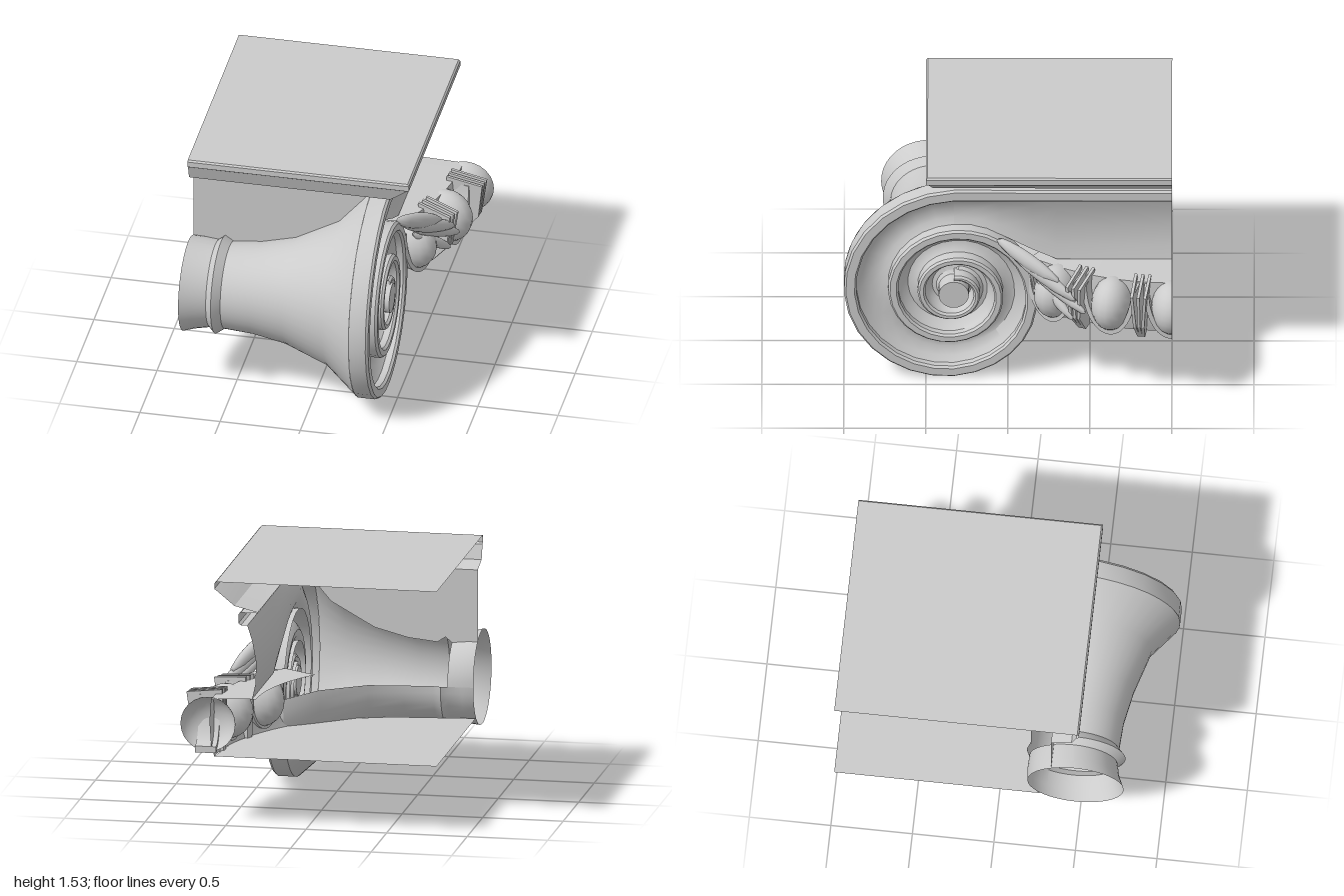
import * as THREE from 'three';
import { toCreasedNormals } from 'three/addons/utils/BufferGeometryUtils.js';

const material = new THREE.MeshStandardMaterial({ color: 0xcccccc, side: THREE.DoubleSide });
const LEFT = -0.81, BACK = -1;          // the two open cut planes
const VZ = 0.33, VY = 0.6;              // volute centre

// Spiral radius at each quarter turn, starting at the top
const RADII = [0.74, 0.67, 0.6, 0.505, 0.45, 0.4, 0.355, 0.3, 0.25, 0.22, 0.19, 0.16, 0.12];
function spiral(turns) {
  const q = turns * 4, i = Math.floor(q + 1e-6);
  if (i >= 12) return turns > 3.01 ? 0.09 : 0.12;
  return THREE.MathUtils.lerp(RADII[i], RADII[i + 1], q - i);
}

function add(parent, name, geometry) {
  const mesh = new THREE.Mesh(geometry, material);
  mesh.name = name;
  parent.add(mesh);
  return mesh;
}

// Skin a list of equal-length rows of [x, y, z] points
function loft(rows, crease = 0.6) {
  const n = rows[0].length, index = [];
  for (let i = 0; i < rows.length - 1; i++)
    for (let j = 0; j < n - 1; j++) {
      const a = i * n + j, b = a + n;
      index.push(a, b, a + 1, b, b + 1, a + 1);
    }
  const g = new THREE.BufferGeometry();
  g.setAttribute('position', new THREE.Float32BufferAttribute(rows.flat(2), 3));
  g.setIndex(index);
  return toCreasedNormals(g, crease);
}

// Moulding cross-section from outer edge (a) to inner edge (b), as [position, x]
function channel(a, b, w) {
  const c = a - w;
  const at = (f) => THREE.MathUtils.lerp(c, b, f);
  return [[a, 0.3], [a, 0.405], [a - 0.012, 0.42], [c + 0.012, 0.42], [c, 0.405], [c, 0.365],
    [at(0.2), 0.335], [at(0.5), 0.31], [at(0.8), 0.315], [b, 0.335]];
}

function buildAbacus(root) {
  // [x extent, z extent, y], returning round the one outer corner
  const profile = [[0.56, 0.49, 1.525], [0.57, 0.5, 1.515], [0.57, 0.5, 1.48], [0.555, 0.485, 1.47],
    [0.445, 0.455, 1.38], [0.3, 0.33, 1.345]];
  add(root, 'abacusMoulding', loft(profile.map(([x, z, y]) =>
    [[x, y, BACK], [x, y, z], [LEFT, y, z]]), 0.4));
  add(root, 'abacusTop', loft([[[LEFT, 1.525, 0.49], [0.56, 1.525, 0.49]],
    [[LEFT, 1.525, BACK], [0.56, 1.525, BACK]]]));
}

function buildVolute(root) {
  const rows = [];
  for (let i = 0; i <= 84; i++) {
    const t = i / 28, a = t * Math.PI * 2;
    const inner = t >= 2 ? Math.min(spiral(t + 1), 0.09) : spiral(t + 1);
    rows.push(channel(spiral(t), inner, 0.08 - 0.015 * t).map(([r, x]) =>
      [x, VY + r * Math.cos(a), VZ + r * Math.sin(a)]));
  }
  add(root, 'voluteSpiral', loft(rows));
  const eye = add(root, 'voluteEye', toCreasedNormals(
    new THREE.CylinderGeometry(0.092, 0.092, 0.13, 24).rotateZ(Math.PI / 2), 0.6));
  eye.position.set(0.365, VY, VZ);

  // Straight run of the moulding to the back cut
  const run = [[VZ, 1.05], [0.18, 1.03], [0.05, 0.98], [-0.15, 0.87], [-0.3, 0.8], [BACK, 0.8]];
  add(root, 'sideChannel', loft(run.map(([z, y]) =>
    channel(1.34, y, 0.08).map(([py, x]) => [x, py, z]))));
}

// Bolster stations: [x, centre y, centre z, radius]
const STATIONS = [[LEFT, 0.64, 0.48, 0.295], [-0.74, 0.64, 0.46, 0.283], [-0.65, 0.64, 0.45, 0.27],
  [-0.61, 0.643, 0.462, 0.303], [-0.56, 0.64, 0.45, 0.27], [-0.38, 0.64, 0.445, 0.285],
  [-0.17, 0.645, 0.44, 0.33], [0.1, 0.645, 0.385, 0.465]];

function buildBolster(root) {
  const SEG = 32, end = Math.PI * 1.5;
  const rows = STATIONS.map(([x, cy, cz, r]) => {
    const start = Math.asin((VZ - cz) / r);
    return Array.from({ length: SEG + 1 }, (_, i) => {
      const a = start + (end - start) * i / SEG;
      return [x, cy + r * Math.cos(a), cz + r * Math.sin(a)];
    });
  });
  rows.push(Array.from({ length: SEG + 1 }, (_, i) => {
    const t = 0.75 * i / SEG, a = t * Math.PI * 2;
    return [0.3, VY + spiral(t) * Math.cos(a), VZ + spiral(t) * Math.sin(a)];
  }));
  add(root, 'bolster', loft(rows));
  // The end of the bolster is a full ring
  add(root, 'bolsterCollar', loft(STATIONS.slice(0, 3).map(([x, cy, cz, r]) =>
    Array.from({ length: 13 }, (_, i) => {
      const a = Math.PI * (1.5 + 0.5 * i / 12);
      return [x, cy + r * Math.cos(a), cz + r * Math.sin(a)];
    }))));
  // Flat wall between bolster and abacus
  add(root, 'frontPanel', loft(rows.map((row) => [row[0], [row[0][0], 1.345, VZ]])));
}

function buildEchinus(root) {
  const ring = new THREE.Group();
  ring.name = 'echinus';
  ring.position.set(LEFT, 0, BACK);
  root.add(ring);

  const core = [[1.38, 0.43], [1.4, 0.5], [1.41, 0.65], [1.4, 0.79], [1.12, 0.8]]
    .map(([r, y]) => new THREE.Vector2(r, y));
  const span = 0.66;
  add(ring, 'echinusCore', toCreasedNormals(
    new THREE.LatheGeometry(core, 14, Math.PI / 2 - span, span), 0.6));

  for (let i = 0; i < 3; i++) {
    const unit = new THREE.Group();
    unit.name = 'eggUnit';
    unit.rotation.y = -i * 0.26;
    ring.add(unit);

    // Egg, halved where the cut plane passes through it
    const egg = add(unit, 'egg', new THREE.SphereGeometry(1, 18, 12, 0, i ? Math.PI * 2 : Math.PI));
    egg.scale.set(0.17, 0.17, 0.125);
    egg.position.set(1.42, 0.63, 0);

    // U-shaped casing round the egg
    const stop = i ? Math.PI * 2 : Math.PI * 1.5;
    const u = new THREE.Shape();
    u.absellipse(0, 0.78, 0.168, 0.33, Math.PI, stop, false);
    u.absellipse(0, 0.78, 0.14, 0.29, stop, Math.PI, true);
    u.closePath();
    const casing = new THREE.ExtrudeGeometry(u, { depth: 0.13, bevelEnabled: false, curveSegments: 12 });
    add(unit, 'eggCasing', toCreasedNormals(casing.rotateY(Math.PI / 2).translate(1.37, 0, 0), 0.6));

    // Three thin blades form the dart, closing toward the bottom
    if (i === 2) continue;
    const dart = new THREE.Group();
    dart.name = 'dart';
    dart.rotation.y = -(i + 0.5) * 0.26;
    ring.add(dart);
    const side = new THREE.Shape([[1.36, 0.82], [1.59, 0.79], [1.56, 0.56], [1.44, 0.42], [1.36, 0.42]]
      .map(([r, y]) => new THREE.Vector2(r, y)));
    for (const k of [-1, 0, 1]) {
      const blade = new THREE.ExtrudeGeometry(side, { depth: 0.018, bevelEnabled: false });
      const p = blade.attributes.position;
      for (let v = 0; v < p.count; v++)
        p.setZ(v, p.getZ(v) - 0.009 + k * (0.015 + 0.07 * (p.getY(v) - 0.42)));
      blade.computeVertexNormals();
      add(dart, 'dartBlade', blade);
    }
  }
}

function buildCornerLeaves(root) {
  // Leaves fanning from the volute over the last egg: [root, tip, half width]
  const leaves = [
    [[0.4, 0.99, 0.07], [0.6, 0.79, -0.32], 0.05],
    [[0.42, 0.92, 0.0], [0.66, 0.7, -0.42], 0.045],
    [[0.45, 0.84, -0.1], [0.68, 0.62, -0.48], 0.04],
    [[0.45, 0.77, -0.16], [0.64, 0.55, -0.4], 0.035],
  ];
  for (const [a, b, w] of leaves) {
    const from = new THREE.Vector3(...a), to = new THREE.Vector3(...b);
    const leaf = add(root, 'cornerLeaf', new THREE.SphereGeometry(1, 10, 8));
    leaf.position.copy(from).lerp(to, 0.5);
    leaf.lookAt(to);
    leaf.scale.set(w * 0.8, w, from.distanceTo(to) / 2);
  }
}

function buildBase(root) {
  // Underside, bounded by the echinus arc and the back of the bolster
  const outline = [[LEFT, BACK], [0.57, BACK], [0.53, -0.65], [0.42, -0.35], [0.3, -0.12],
    [0.13, 0.05], [-0.3, 0.2], [LEFT, 0.26]].map(([x, z]) => new THREE.Vector2(x, z));
  add(root, 'underside', new THREE.ShapeGeometry(new THREE.Shape(outline))
    .rotateX(Math.PI / 2).translate(0, 0.43, 0));
}

export function createModel() {
  const root = new THREE.Group();
  root.name = 'capitalQuarter';
  buildAbacus(root);
  buildVolute(root);
  buildBolster(root);
  buildEchinus(root);
  buildCornerLeaves(root);
  buildBase(root);
  return root;
}
